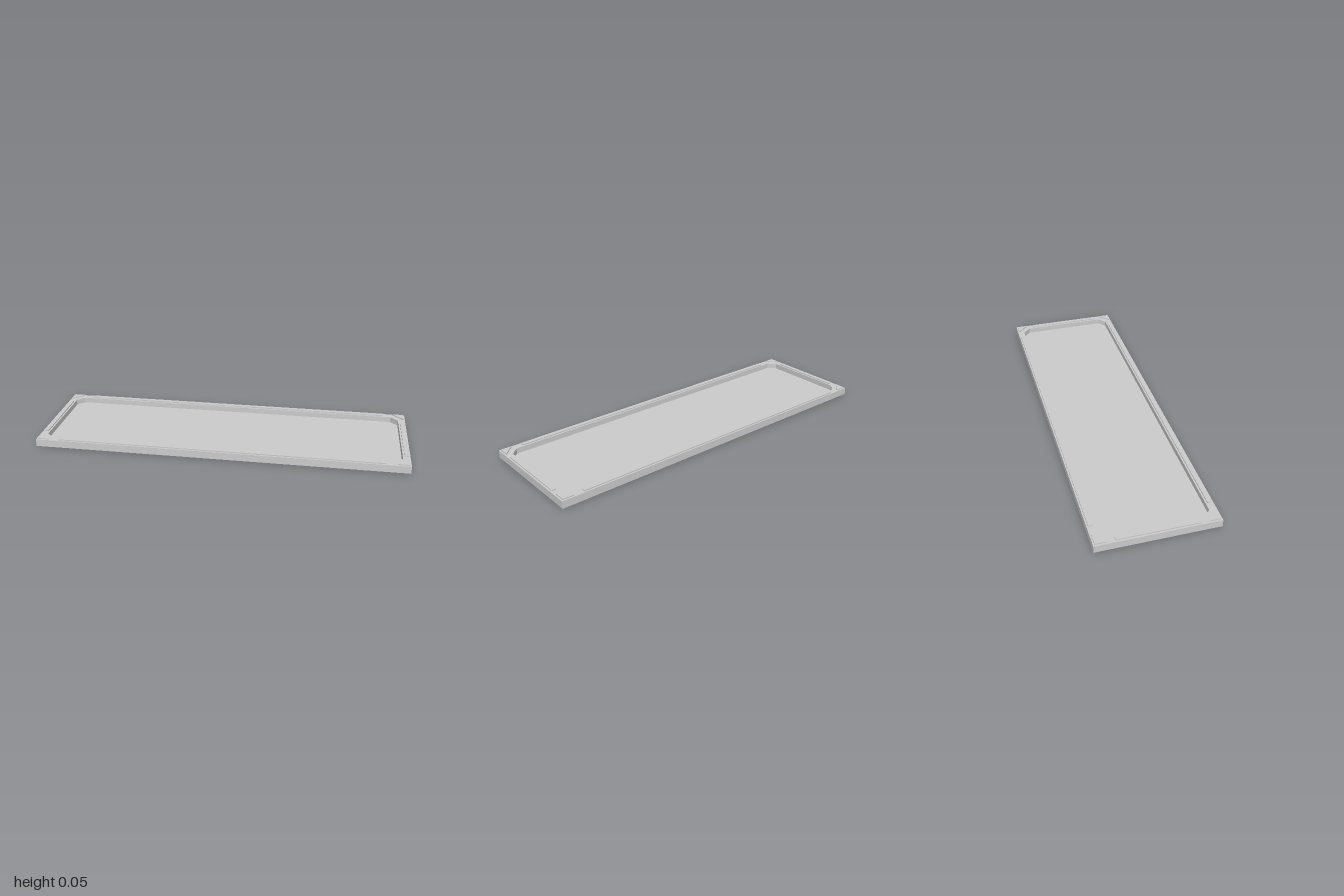
import * as THREE from 'three';

const material = new THREE.MeshStandardMaterial({ color: 0xcccccc, flatShading: true });
const HALF_X = 1, HALF_Z = 0.313;
const FLOOR_Y = 0.01, RIM_Y = 0.04, TOP_Y = 0.046;

// Rectangle with cut corners, traced in the ground plane
function outline(Type, hx, hz, cut) {
  const points = [
    [hx, hz - cut], [hx - cut, hz], [cut - hx, hz], [-hx, hz - cut],
    [-hx, cut - hz], [cut - hx, -hz], [hx - cut, -hz], [hx, cut - hz],
  ];
  return new Type(points.map(([x, z]) => new THREE.Vector2(x, z)));
}

function polygon(points) {
  return new THREE.Shape(points.map(([x, z]) => new THREE.Vector2(x, z)));
}

// Extrude a ground-plane shape upward from y0 to y1
function slab(name, shape, y0, y1) {
  const geometry = new THREE.ExtrudeGeometry(shape, { depth: y1 - y0, bevelEnabled: false });
  geometry.rotateX(-Math.PI / 2).translate(0, y0, 0);
  const mesh = new THREE.Mesh(geometry, material);
  mesh.name = name;
  return mesh;
}

export function createModel() {
  const group = new THREE.Group();
  group.name = 'tray';

  // Thin floor and the frame around the recess
  const full = polygon([[-HALF_X, -HALF_Z], [HALF_X, -HALF_Z], [HALF_X, HALF_Z], [-HALF_X, HALF_Z]]);
  group.add(slab('floor', full, 0, FLOOR_Y));
  const frame = full.clone();
  frame.holes.push(outline(THREE.Path, 0.96, 0.274, 0.04));
  group.add(slab('rim', frame, FLOOR_Y, RIM_Y));

  // Raised strips along the four sides
  for (const s of [-1, 1]) {
    const long = polygon([[-0.875, s * 0.283], [0.875, s * 0.283], [0.875, s * 0.305], [-0.875, s * 0.305]]);
    group.add(slab('longStrip', long, RIM_Y, TOP_Y));
    const short = polygon([[s * 0.969, -0.206], [s * 0.991, -0.206], [s * 0.991, 0.206], [s * 0.969, 0.206]]);
    group.add(slab('endStrip', short, RIM_Y, TOP_Y));
  }

  // Raised triangular pads in the corners
  for (const sx of [-1, 1]) {
    for (const sz of [-1, 1]) {
      const pad = polygon([[sx * 0.991, sz * 0.305], [sx * 0.931, sz * 0.305], [sx * 0.991, sz * 0.246]]);
      group.add(slab('cornerPad', pad, RIM_Y, TOP_Y));
    }
  }
  return group;
}
